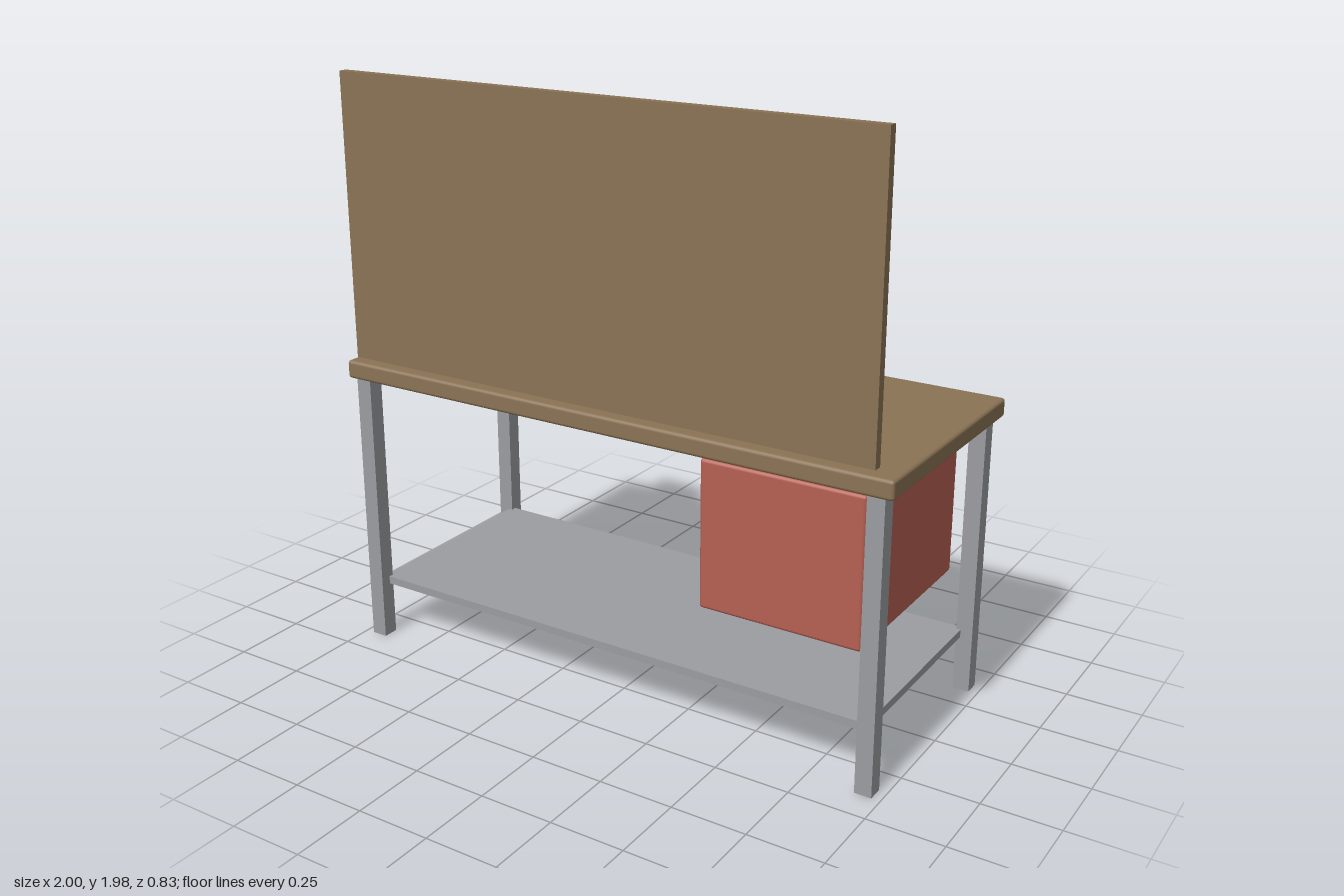
import * as THREE from 'three';
import { RoundedBoxGeometry } from 'three/addons/geometries/RoundedBoxGeometry.js';

const material = (name, color) => {
  const m = new THREE.MeshStandardMaterial({ color });
  m.name = name;
  return m;
};

export function createModel() {
  const wood = material('wood', 0x8b7355);
  const steel = material('steel', 0x9c9da1);
  const red = material('red paint', 0xb55f52);
  const dark = material('dark metal', 0x66666a);

  const model = new THREE.Group();
  model.name = 'workbench';

  // Box given by its ranges on each axis, with an optional edge radius
  function box(name, mat, [x0, x1], [y0, y1], [z0, z1], radius = 0) {
    const size = [x1 - x0, y1 - y0, z1 - z0];
    const geometry = radius
      ? new RoundedBoxGeometry(...size, 2, radius)
      : new THREE.BoxGeometry(...size);
    const mesh = new THREE.Mesh(geometry, mat);
    mesh.name = name;
    mesh.position.set((x0 + x1) / 2, (y0 + y1) / 2, (z0 + z1) / 2);
    model.add(mesh);
    return mesh;
  }

  // Bench top and lower shelf
  box('benchTop', wood, [-1, 1], [0.95, 1.012], [-0.415, 0.41], 0.011);
  box('shelf', steel, [-0.93, 0.93], [0.19, 0.217], [-0.36, 0.36]);

  // Four square legs
  for (const x of [-0.943, 0.943])
    for (const z of [-0.368, 0.37])
      box('leg', steel, [x - 0.028, x + 0.028], [0, 0.952], [z - 0.027, z + 0.027]);

  // Drawer cabinet with three pulls on the working side
  box('drawerCabinet', red, [0.335, 0.885], [0.422, 0.915], [-0.332, 0.332], 0.011);
  for (const y of [0.5, 0.66, 0.82])
    box('drawerHandle', dark, [0.437, 0.783], [y - 0.011, y + 0.011], [-0.352, -0.33]);

  // Upright tool board
  box('toolBoard', wood, [-0.945, 0.945], [1.035, 1.977], [0.385, 0.415]);

  // Hanging tools: bottom and top height, from -x to +x
  const tools = [
    [1.23, 1.53], [1.28, 1.59], [1.44, 1.66], [1.12, 1.46],
    [1.27, 1.52], [1.57, 1.86], [1.51, 1.8],
  ];
  tools.forEach((span, i) => {
    const x = -0.78 + i * 0.255;
    box('hangingTool', steel, [x - 0.022, x + 0.022], span, [0.373, 0.386]);
  });

  // Vise block on the bench corner
  box('vise', dark, [-0.89, -0.667], [1.015, 1.148], [-0.411, -0.262], 0.015);

  return model;
}
